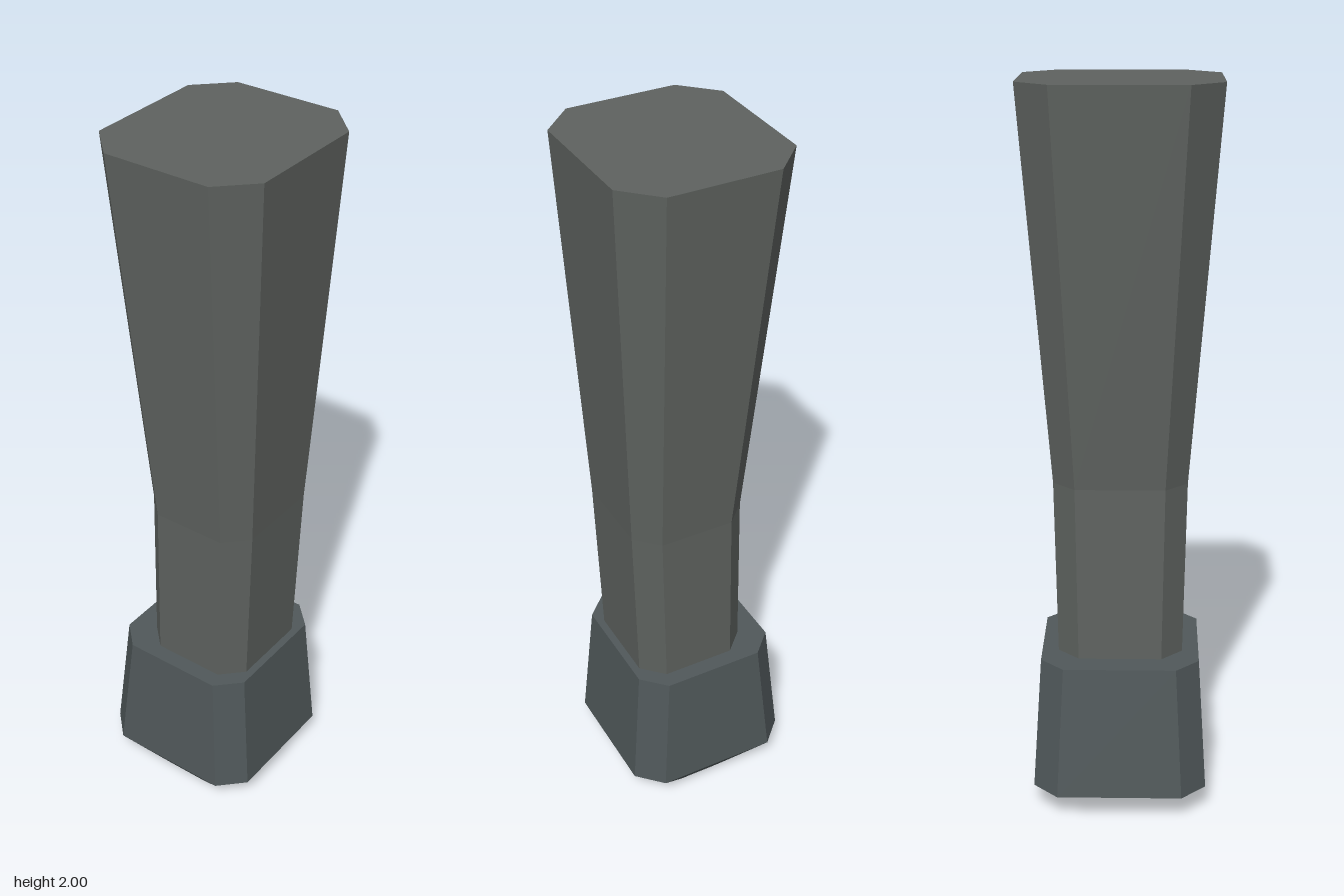
import * as THREE from 'three';

// Chamfered rectangle: half width x, front z, back z, corner cut in x and z
function ring({ y, x, front, back, cut, cutZ = cut }) {
  const half = [
    [x - cut, y, front], [x, y, front - cutZ],
    [x, y, back + cutZ], [x - cut, y, back],
  ];
  const mirrored = half.map(([px, py, pz]) => [-px, py, pz]).reverse();
  return [...half, ...mirrored];
}

// Closed flat-sided loft through sections listed from bottom to top
function loft(sections) {
  const rings = sections.map(ring);
  const n = rings[0].length;
  const pos = [];
  const tri = (a, b, c) => pos.push(...a, ...b, ...c);
  for (let s = 0; s < rings.length - 1; s++) {
    const lo = rings[s], hi = rings[s + 1];
    for (let k = 0; k < n; k++) {
      const m = (k + 1) % n;
      tri(lo[k], lo[m], hi[m]);
      tri(lo[k], hi[m], hi[k]);
    }
  }
  const bottom = rings[0], top = rings[rings.length - 1];
  for (let k = 1; k < n - 1; k++) {
    tri(bottom[0], bottom[k + 1], bottom[k]);
    tri(top[0], top[k], top[k + 1]);
  }
  const geometry = new THREE.BufferGeometry();
  geometry.setAttribute('position', new THREE.Float32BufferAttribute(pos, 3));
  geometry.computeVertexNormals();
  return geometry;
}

function part(name, color, sections) {
  const material = new THREE.MeshStandardMaterial({ color, flatShading: true });
  const mesh = new THREE.Mesh(loft(sections), material);
  mesh.name = name;
  return mesh;
}

export function createModel() {
  const model = new THREE.Group();
  model.name = 'taperedLeg';

  // Leg shaft, narrow at the bottom and flaring to the top
  model.add(part('shaft', 0x5e625f, [
    { y: 0.42, x: 0.172, front: 0.178, back: -0.145, cut: 0.058 },
    { y: 0.93, x: 0.183, front: 0.198, back: -0.135, cut: 0.061 },
    { y: 2.0, x: 0.265, front: 0.253, back: -0.228, cut: 0.09 },
  ]));

  // Foot block with a bevelled sole
  model.add(part('foot', 0x50585a, [
    { y: 0, x: 0.19, front: 0.12, back: -0.085, cut: 0.055, cutZ: 0.04 },
    { y: 0.07, x: 0.24, front: 0.229, back: -0.255, cut: 0.068 },
    { y: 0.44, x: 0.218, front: 0.2, back: -0.217, cut: 0.064 },
  ]));

  return model;
}
